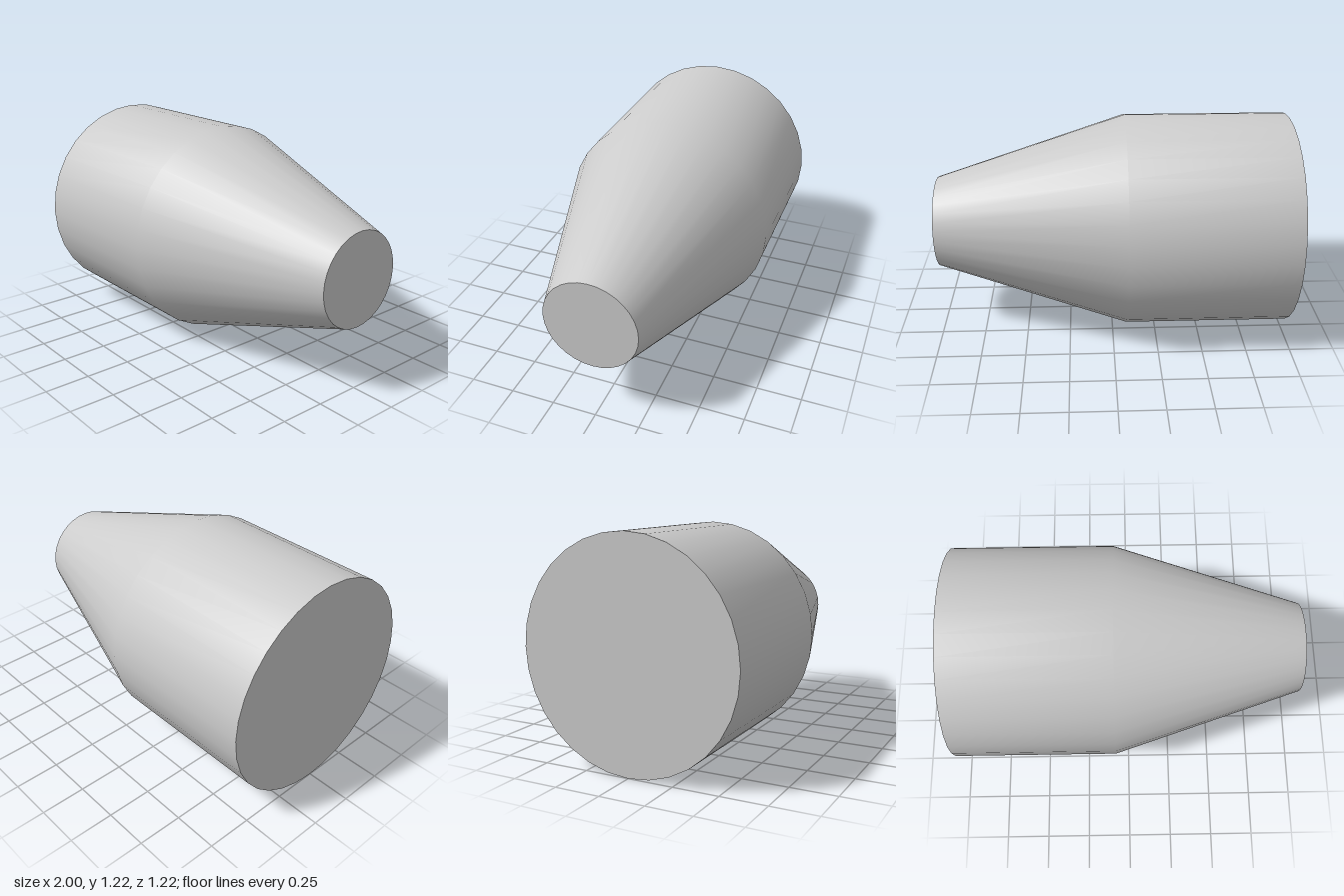
import * as THREE from 'three';

const SEGMENTS = 32;
const BODY_RADIUS = 0.608;
const TIP_RADIUS = 0.26;
const SHOULDER_X = -0.075;

export function createModel() {
  const group = new THREE.Group();
  group.name = 'taperedReducer';
  const material = new THREE.MeshStandardMaterial({ color: 0xcccccc });

  // Straight barrel running into a cone, turned around the x axis
  const profile = [
    new THREE.Vector2(BODY_RADIUS, -1),
    new THREE.Vector2(BODY_RADIUS, SHOULDER_X),
    new THREE.Vector2(TIP_RADIUS, 1),
  ];
  const shell = new THREE.Mesh(new THREE.LatheGeometry(profile, SEGMENTS), material);
  shell.name = 'barrelAndCone';
  shell.rotation.z = -Math.PI / 2;
  group.add(shell);

  // Flat end caps
  const addCap = (name, radius, side) => {
    const cap = new THREE.Mesh(new THREE.CircleGeometry(radius, SEGMENTS), material);
    cap.name = name;
    cap.rotation.y = side * Math.PI / 2;
    cap.position.x = side;
    group.add(cap);
  };
  addCap('largeEndCap', BODY_RADIUS, -1);
  addCap('smallEndCap', TIP_RADIUS, 1);

  // Rest the barrel on the ground
  for (const part of group.children) part.position.y = BODY_RADIUS;
  return group;
}
